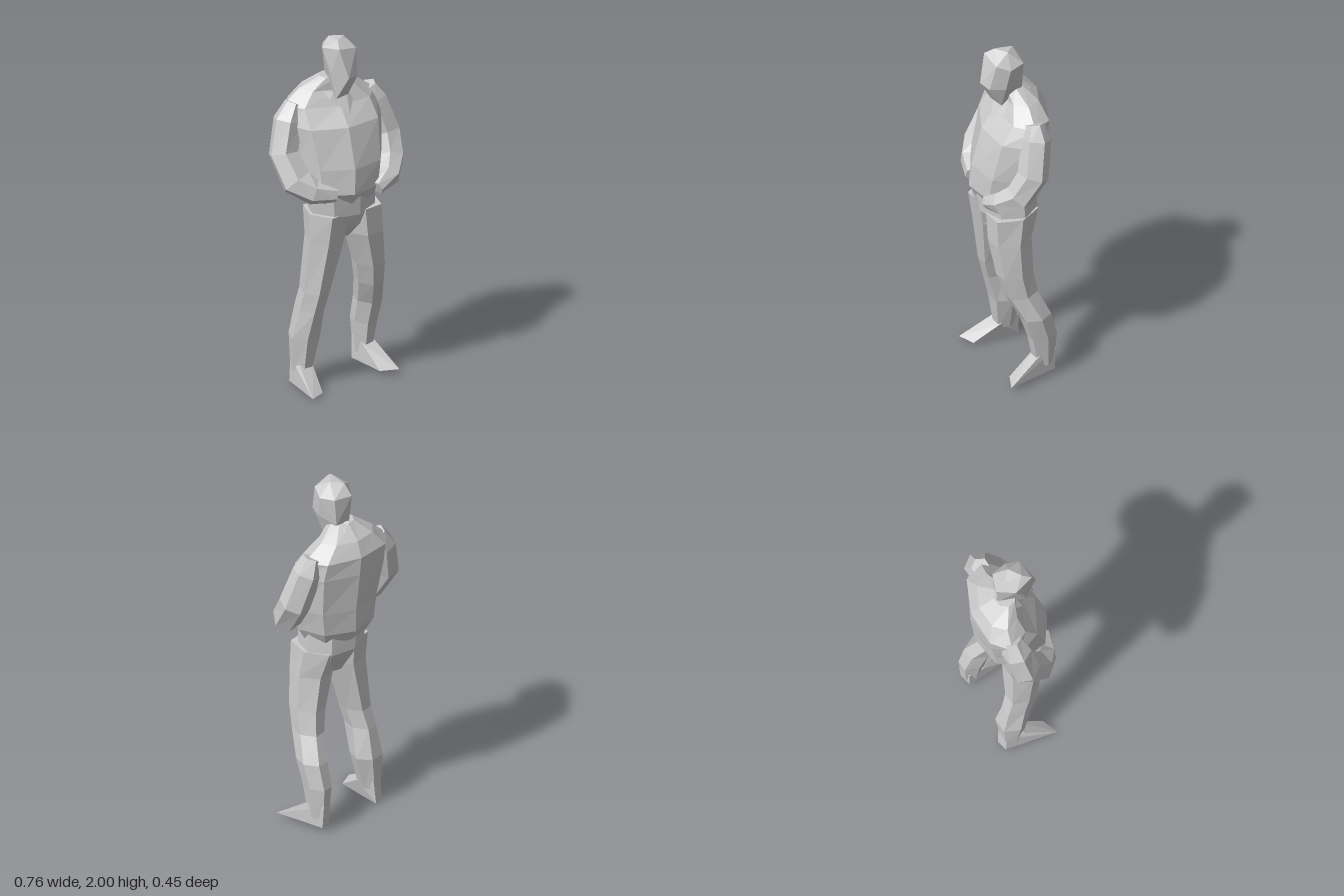
import * as THREE from 'three';
import { ConvexGeometry } from 'three/addons/geometries/ConvexGeometry.js';

const V = (x, y, z) => new THREE.Vector3(x, y, z);

// Skin a list of rings (each a list of points), closing both ends
function loft(rings) {
  const pos = [];
  const tri = (...p) => p.forEach((q) => pos.push(q.x, q.y, q.z));
  const centre = (r) => r.reduce((s, p) => s.add(p), V(0, 0, 0)).divideScalar(r.length);
  const n = rings[0].length, last = rings[rings.length - 1];
  const c0 = centre(rings[0]), c1 = centre(last);
  for (let j = 0; j < n; j++) {
    const k = (j + 1) % n;
    for (let i = 0; i < rings.length - 1; i++) {
      const a = rings[i], b = rings[i + 1];
      tri(a[j], b[j], a[k]);
      tri(a[k], b[j], b[k]);
    }
    tri(c0, rings[0][j], rings[0][k]);
    tri(c1, last[k], last[j]);
  }
  const g = new THREE.BufferGeometry();
  g.setAttribute('position', new THREE.Float32BufferAttribute(pos, 3));
  g.computeVertexNormals();
  return g;
}

// Level rings, listed from the bottom up: [x, y, z, halfWidth, halfDepth]
function levelLoft(sections, sides, yaw = 0) {
  return loft(sections.map(([x, y, z, rx, rz]) =>
    Array.from({ length: sides }, (_, i) => {
      const a = (i / sides) * Math.PI * 2;
      const px = Math.cos(a) * rx, pz = Math.sin(a) * rz;
      return V(x + px * Math.cos(yaw) - pz * Math.sin(yaw), y,
        z + px * Math.sin(yaw) + pz * Math.cos(yaw));
    })));
}

// Rings square to a bent path: [x, y, z, radius]
function limbLoft(path, sides) {
  const pts = path.map(([x, y, z]) => V(x, y, z));
  return loft(pts.map((p, i) => {
    const t = pts[Math.min(i + 1, pts.length - 1)].clone()
      .sub(pts[Math.max(i - 1, 0)]).normalize();
    const v = t.clone().cross(V(1, 0, 0)).normalize();
    const u = t.clone().cross(v);
    return Array.from({ length: sides }, (_, j) => {
      const a = (j / sides) * Math.PI * 2;
      return p.clone().addScaledVector(u, Math.cos(a) * path[i][3])
        .addScaledVector(v, Math.sin(a) * path[i][3]);
    });
  }));
}

const hull = (points) => new ConvexGeometry(points.map((p) => V(...p)));

export function createModel() {
  const group = new THREE.Group();
  const material = new THREE.MeshStandardMaterial({ color: 0xcccccc, flatShading: true });
  const add = (name, geometry) => {
    const mesh = new THREE.Mesh(geometry, material);
    mesh.name = name;
    group.add(mesh);
  };

  // Head, turned slightly and leaning forward
  add('head', hull([
    [-0.05, 2, 0.04], [0.02, 2, 0], [-0.03, 1.99, -0.06],
    [-0.03, 1.93, -0.11], [0.065, 1.93, -0.07], [0.08, 1.92, 0.02],
    [-0.1, 1.95, -0.03], [-0.08, 1.97, 0.085], [0.04, 1.95, 0.085],
    [-0.05, 1.81, 0.13], [0.02, 1.8, 0.115], [0.065, 1.8, 0.04], [-0.09, 1.82, 0.03],
    [-0.07, 1.67, 0.05], [0.02, 1.67, 0.04], [-0.03, 1.76, -0.09], [0.05, 1.77, -0.07],
  ]));

  // Collar and neck
  add('collar', hull([
    [0.05, 1.76, -0.03], [0.11, 1.68, 0], [-0.01, 1.58, 0.09],
    [-0.09, 1.66, 0.02], [-0.1, 1.72, -0.05], [-0.02, 1.78, -0.1], [0.05, 1.74, -0.12],
  ]));

  // Jacket body, right shoulder turned back
  add('jacket', levelLoft([
    [-0.01, 1.09, 0, 0.19, 0.16],
    [-0.01, 1.16, 0, 0.23, 0.2],
    [0, 1.3, -0.01, 0.25, 0.2],
    [0, 1.52, -0.05, 0.28, 0.18],
    [0, 1.62, -0.09, 0.27, 0.14],
    [-0.01, 1.7, -0.09, 0.17, 0.1],
    [-0.02, 1.77, -0.05, 0.07, 0.06],
  ], 8, 0.26));

  // Bent arms with the hands tucked in at the waist
  add('rightArm', limbLoft([
    [-0.21, 1.63, -0.13, 0.05], [-0.255, 1.54, -0.13, 0.08], [-0.3, 1.37, -0.11, 0.085],
    [-0.285, 1.23, -0.02, 0.09], [-0.23, 1.18, 0.06, 0.07], [-0.13, 1.16, 0.12, 0.045],
  ], 6));
  add('leftArm', limbLoft([
    [0.22, 1.64, -0.04, 0.05], [0.25, 1.56, -0.03, 0.08], [0.295, 1.37, 0.02, 0.085],
    [0.27, 1.25, 0.09, 0.08], [0.2, 1.19, 0.16, 0.065], [0.1, 1.15, 0.18, 0.04],
  ], 6));

  // Hips
  add('hips', levelLoft([
    [0, 0.86, 0, 0.06, 0.06],
    [0, 0.94, 0.01, 0.16, 0.12],
    [0, 1.02, 0.005, 0.2, 0.16],
    [-0.01, 1.14, 0.01, 0.2, 0.165],
  ], 8));

  // Trouser legs
  add('rightLeg', levelLoft([
    [-0.18, 0.08, -0.11, 0.05, 0.065],
    [-0.165, 0.28, -0.1, 0.085, 0.09],
    [-0.165, 0.45, -0.06, 0.065, 0.095],
    [-0.155, 0.56, -0.03, 0.07, 0.095],
    [-0.115, 0.87, 0.005, 0.105, 0.115],
    [-0.11, 1.03, 0.01, 0.11, 0.14],
  ], 6));
  add('leftLeg', levelLoft([
    [0.23, 0.08, -0.09, 0.045, 0.06],
    [0.23, 0.26, -0.08, 0.062, 0.085],
    [0.225, 0.4, -0.04, 0.07, 0.09],
    [0.18, 0.54, 0.02, 0.068, 0.095],
    [0.155, 0.67, 0.045, 0.08, 0.105],
    [0.115, 0.87, 0.05, 0.105, 0.12],
    [0.1, 1.03, 0.025, 0.11, 0.15],
  ], 6));

  // Wedge shoes, toes turned out
  add('rightShoe', hull([
    [-0.15, 0, -0.18], [-0.21, 0, -0.17], [-0.285, 0.01, 0.11], [-0.19, 0.01, 0.08],
    [-0.14, 0.14, -0.17], [-0.21, 0.14, -0.16], [-0.225, 0.12, -0.06], [-0.14, 0.11, -0.06],
  ]));
  add('leftShoe', hull([
    [0.19, 0.03, -0.13], [0.26, 0.03, -0.14], [0.285, 0.03, 0.15], [0.19, 0.03, 0.1],
    [0.19, 0.16, -0.13], [0.26, 0.16, -0.15], [0.265, 0.15, -0.04], [0.19, 0.14, -0.04],
  ]));

  return group;
}
